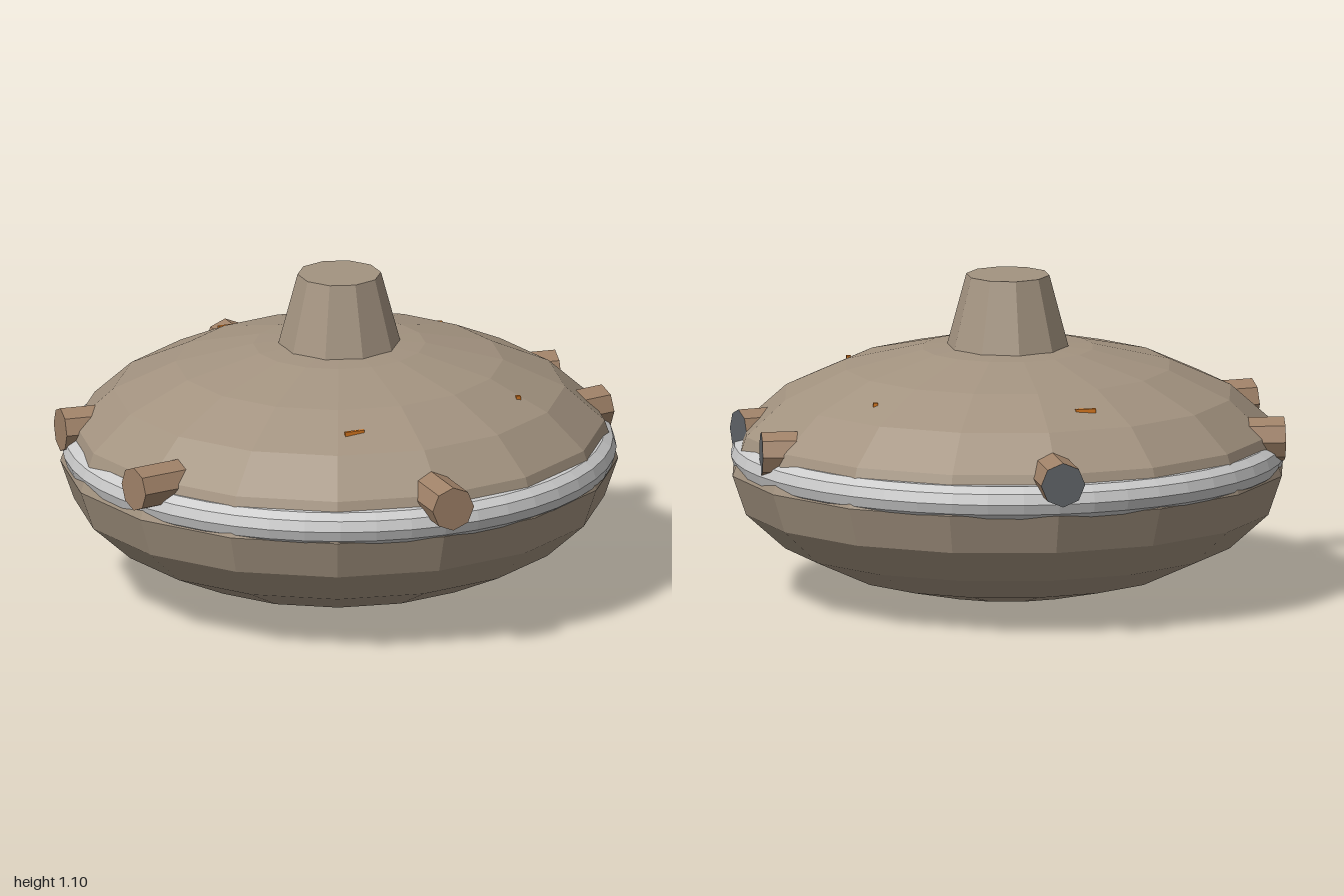
import * as THREE from 'three';

const material = (color) => new THREE.MeshStandardMaterial({ color, flatShading: true });

export function createModel() {
  const model = new THREE.Group();
  model.name = 'saucer';
  const hullMat = material(0xa39380);
  const gunMat = material(0xa08268);
  const muzzleMat = material(0x606468);
  const lampMat = material(0xd87820);
  const ringMat = material(0xcccccc);

  const add = (name, geometry, mat, parent = model) => {
    const mesh = new THREE.Mesh(geometry, mat);
    mesh.name = name;
    parent.add(mesh);
    return mesh;
  };

  // Faceted, flattened body
  const hull = add('hull', new THREE.SphereGeometry(1, 16, 10), hullMat);
  hull.scale.set(0.95, 0.435, 0.92);
  hull.position.y = 0.437;

  // Rounded band just above the widest line
  const ring = add('rimRing', new THREE.TorusGeometry(0.88, 0.06, 10, 48), ringMat);
  ring.rotation.x = Math.PI / 2;
  ring.position.y = 0.482;

  // Tapered ten-sided turret on top
  const turret = add('turret', new THREE.CylinderGeometry(0.142, 0.217, 0.28, 10), hullMat);
  turret.position.y = 0.96;

  // Stubby guns around the rim: muzzle x, z, outward direction x, z, dark muzzle
  const guns = [
    [0, 1, 0, 1, false],
    [0, -1, 0, -1, true],
    [0.9, -0.255, 0.99, 0.11, true],
    [0.9, 0.155, 0.98, -0.2, true],
    [-0.893, -0.315, -0.99, -0.1, false],
    [-0.915, 0.38, -0.985, 0.17, false],
  ];
  const length = 0.22;
  guns.forEach(([x, z, dx, dz, dark], i) => {
    const gun = new THREE.Group();
    gun.name = `gun${i + 1}`;
    gun.position.set(x, 0.56, z);
    gun.rotation.y = Math.atan2(dx, dz);
    const barrel = add('barrel', new THREE.CylinderGeometry(0.076, 0.076, length, 8), [
      gunMat, dark ? muzzleMat : gunMat, gunMat,
    ]);
    barrel.rotation.x = Math.PI / 2;
    barrel.position.z = -length / 2;
    gun.add(barrel);
    model.add(gun);
  });

  // Small lamps that barely break the upper surface: x, z, width
  const lamps = [[-0.2, 0.61, 0.07], [-0.15, -0.62, 0.07], [0.46, 0.47, 0.015], [0.53, -0.38, 0.015]];
  lamps.forEach(([x, z, width], i) => {
    const lamp = add(`lamp${i + 1}`, new THREE.BoxGeometry(width, 0.03, 0.012), lampMat);
    lamp.position.set(x, 0.732, z);
  });

  return model;
}
